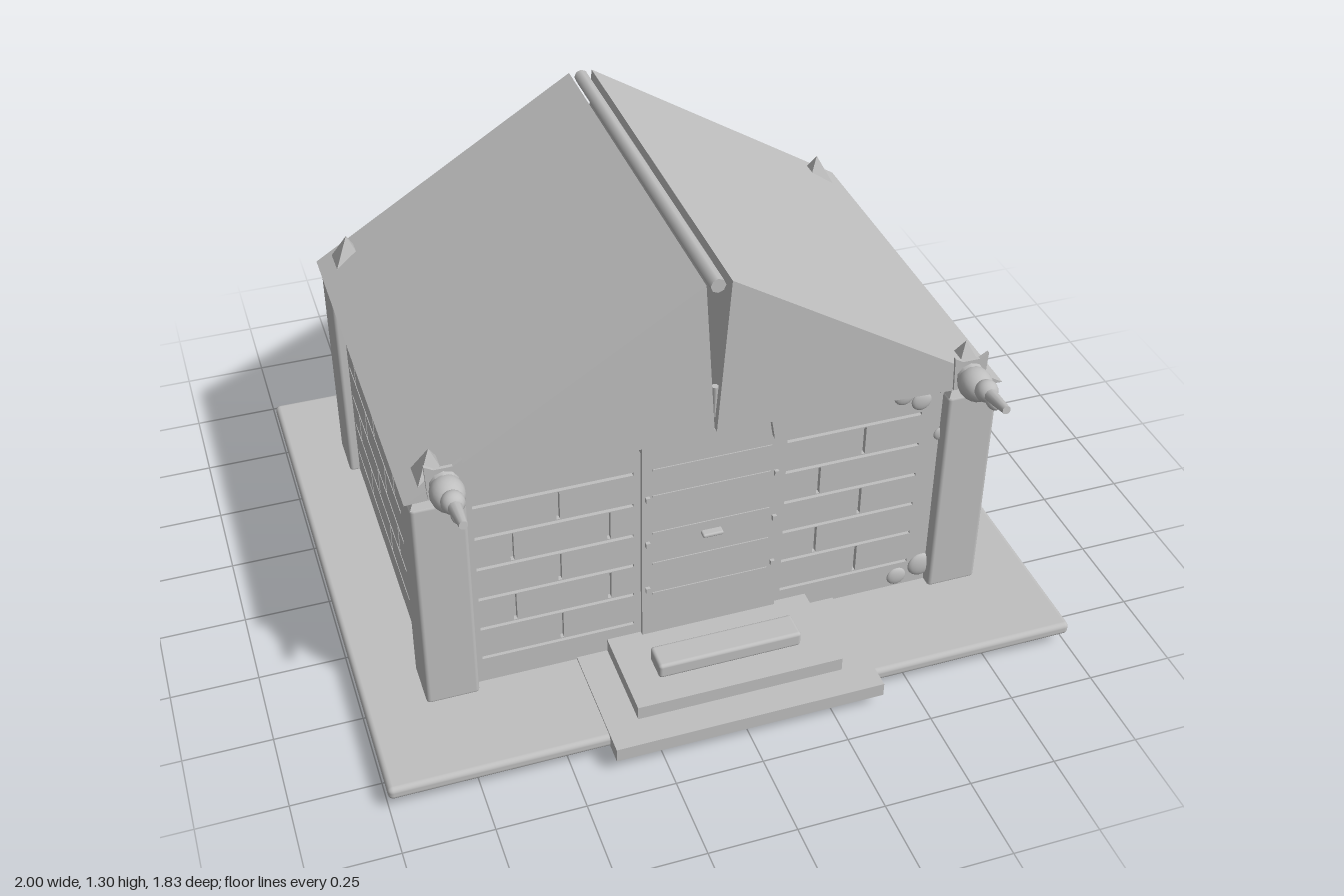
import * as THREE from 'three';
import { RoundedBoxGeometry } from 'three/addons/geometries/RoundedBoxGeometry.js';

export function createModel() {
  const root = new THREE.Group();
  root.name = 'stoneHouse';
  const stone = new THREE.MeshStandardMaterial({ color: 0xbfbfbf });
  stone.name = 'greyStone';

  const add = (name, geo, x = 0, y = 0, z = 0, parent = root) => {
    const m = new THREE.Mesh(geo, stone);
    m.name = name;
    m.position.set(x, y, z);
    parent.add(m);
    return m;
  };
  // Box given by its limits, optionally with rounded edges
  const block = (name, x0, x1, y0, y1, z0, z1, r = 0, parent = root) => {
    const s = [x1 - x0, y1 - y0, z1 - z0];
    const geo = r ? new RoundedBoxGeometry(...s, 3, r) : new THREE.BoxGeometry(...s);
    return add(name, geo, (x0 + x1) / 2, (y0 + y1) / 2, (z0 + z1) / 2, parent);
  };

  // Ground slab, landing and steps
  block('groundSlab', -1, 1, 0.042, 0.082, -0.91, 0.858, 0.015);
  block('landing', -0.39, 0.39, 0.046, 0.088, 0.5, 0.915);
  block('lowerStep', -0.3, 0.3, 0.085, 0.13, 0.53, 0.825);
  block('upperStep', -0.21, 0.21, 0.13, 0.177, 0.655, 0.74, 0.01);

  // Walls: solid core faced with panels that have mortar grooves cut through
  block('wallCore', -0.785, 0.785, 0.08, 0.79, -0.595, 0.53);
  const rect = (Type, x0, x1, y0, y1) => {
    const p = new Type();
    p.moveTo(x0, y0).lineTo(x1, y0).lineTo(x1, y1).lineTo(x0, y1).closePath();
    return p;
  };
  const wall = (name, half, ranges, x, z, turn) => {
    const shape = rect(THREE.Shape, -half, half, 0.08, 0.79);
    const rows = 6, pitch = 0.108, g = 0.005;
    for (const [a, b] of ranges) {
      for (let i = 0; i < rows; i++) {
        const y = 0.17 + i * pitch;
        shape.holes.push(rect(THREE.Path, a, b, y - g, y + g));
        if (i === rows - 1) continue;
        for (let v = a + (i % 2 ? 0.1 : 0.23); v < b - 0.04; v += 0.27) {
          shape.holes.push(rect(THREE.Path, v - g, v + g, y + g + 0.003, y + pitch - g - 0.003));
        }
      }
    }
    const geo = new THREE.ExtrudeGeometry(shape, { depth: 0.015, bevelEnabled: false });
    add(name, geo, x, 0, z).rotation.y = turn;
  };
  wall('frontWall', 0.76, [[-0.66, -0.22], [0.22, 0.62]], 0, 0.53, 0);
  wall('backWall', 0.76, [[-0.6, 0.6]], 0, -0.595, Math.PI);
  wall('leftWall', 0.54, [[-0.4, 0.44]], 0.785, -0.03, Math.PI / 2);
  wall('rightWall', 0.54, [[-0.44, 0.4]], -0.785, -0.03, -Math.PI / 2);

  // Corner pillars with sloped caps and small pyramids
  const pyramid = (top, bottom, h) => {
    const geo = new THREE.CylinderGeometry(top * Math.SQRT2, bottom * Math.SQRT2, h, 4, 1).toNonIndexed();
    geo.rotateY(Math.PI / 4);
    geo.computeVertexNormals();
    return geo;
  };
  for (const sx of [-1, 1]) {
    for (const z of [0.505, -0.565]) {
      const x = sx * 0.755;
      block('pillar', x - 0.075, x + 0.075, 0.075, 0.772, z - 0.075, z + 0.075, 0.012);
      add('pillarCap', pyramid(0.055, 0.073, 0.035), x, 0.785, z);
      add('capPyramid', pyramid(0.0001, 0.05, 0.1), x, 0.85, z);
    }
  }

  // Roof: two wedges with a narrow gap, and a ridge pole between them
  const wedge = (sx) => {
    const s = new THREE.Shape();
    s.moveTo(sx * 0.842, 0.788).lineTo(sx * 0.035, 1.29).lineTo(sx * 0.003, 0.82).closePath();
    return new THREE.ExtrudeGeometry(s, { depth: 1.205, bevelEnabled: false });
  };
  add('roofLeft', wedge(1), 0, 0, -0.63);
  add('roofRight', wedge(-1), 0, 0, -0.63);
  const ridge = new THREE.CylinderGeometry(0.021, 0.021, 1.19, 8).rotateX(Math.PI / 2);
  add('ridgePole', ridge, 0, 1.277, -0.028);
  add('gableSpindle', new THREE.CylinderGeometry(0.01, 0.003, 0.1, 8), 0, 0.91, 0.56);

  // Door with hinges, handle and top brackets
  block('door', -0.2, 0.2, 0.085, 0.815, 0.53, 0.558);
  for (const y of [0.28, 0.39, 0.5, 0.63, 0.72]) {
    block('doorPlankSeam', -0.17, 0.17, y - 0.003, y + 0.003, 0.55, 0.561);
  }
  for (const sx of [-1, 1]) {
    for (const y of [0.3, 0.465, 0.625]) {
      block('hinge', sx * 0.185 - 0.006, sx * 0.185 + 0.006, y - 0.008, y + 0.008, 0.55, 0.568);
    }
    const b = new THREE.Shape();
    b.moveTo(sx * 0.16, 0.815).lineTo(sx * 0.205, 0.815).lineTo(sx * 0.205, 0.79)
      .lineTo(sx * 0.19, 0.75).lineTo(sx * 0.17, 0.755).closePath();
    add('doorBracket', new THREE.ExtrudeGeometry(b, { depth: 0.03, bevelEnabled: false }), 0, 0, 0.545);
  }
  block('doorHandle', -0.03, 0.03, 0.459, 0.471, 0.55, 0.58, 0.005);

  // Flat pebbles set in the front wall
  const pebbles = [[0.56, 0.785, 0.03], [0.615, 0.755, 0.03], [0.672, 0.79, 0.02], [0.685, 0.625, 0.022],
    [0.59, 0.117, 0.03], [0.665, 0.143, 0.04], [0.62, 0.036, 0.036]];
  for (const [x, y, r] of pebbles) {
    add('pebble', new THREE.SphereGeometry(r, 16, 10), x, y, 0.545).scale.z = 0.35;
  }

  // Beaked gargoyle heads at the front corners
  for (const sx of [-1, 1]) {
    const g = new THREE.Group();
    g.name = 'gargoyle';
    g.position.set(sx * 0.735, 0, 0);
    root.add(g);
    const plate = new THREE.Shape();
    plate.moveTo(-0.045, 0.8).lineTo(0.045, 0.8).lineTo(0.05, 0.905).lineTo(0.025, 0.89)
      .lineTo(-0.025, 0.89).lineTo(-0.05, 0.905).closePath();
    add('earPlate', new THREE.ExtrudeGeometry(plate, { depth: 0.01, bevelEnabled: false }), 0, 0, 0.572, g);
    const neck = new THREE.CylinderGeometry(0.025, 0.043, 0.065, 10).rotateX(Math.PI / 2);
    add('neck', neck, 0, 0.84, 0.606, g);
    add('body', new THREE.SphereGeometry(0.047, 16, 12), 0, 0.834, 0.615, g).scale.z = 1.2;
    add('head', new THREE.SphereGeometry(0.032, 16, 12), 0, 0.855, 0.678, g);
    const beak = new THREE.CylinderGeometry(0.012, 0.02, 0.1, 10).rotateX(Math.PI / 2);
    add('upperBeak', beak, 0, 0.864, 0.742, g).rotation.x = -0.15;
    add('lowerBeak', new THREE.SphereGeometry(0.016, 12, 8), 0, 0.842, 0.715, g).scale.z = 1.9;
  }
  return root;
}
